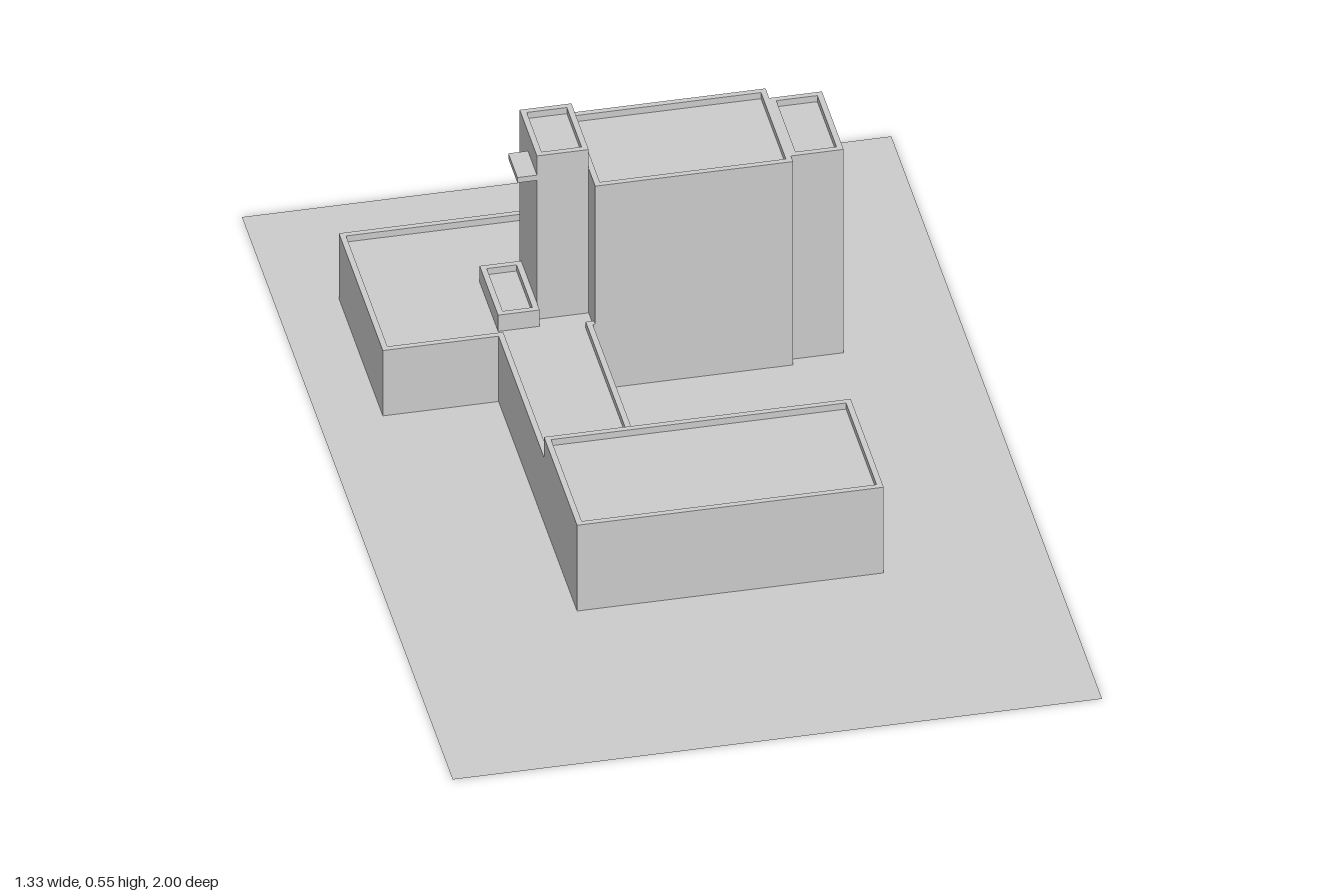
import * as THREE from 'three';

const material = new THREE.MeshStandardMaterial({ color: 0xcccccc, flatShading: true, side: THREE.DoubleSide });
const RIM = 0.012, RECESS = 0.015;

// Plan outlines are lists of [x, z] corners, counter-clockwise as seen from above.
const rect = (x0, x1, z0, z1) => [[x0, z1], [x1, z1], [x1, z0], [x0, z0]];
const toVectors = (plan) => plan.map(([x, z]) => new THREE.Vector2(x, -z));

// Moves every edge of a right-angled outline inward by d.
function inset(points, d) {
  const n = points.length;
  return points.map((p, i) => {
    const a = p.clone().sub(points[(i + n - 1) % n]).normalize();
    const b = points[(i + 1) % n].clone().sub(p).normalize();
    return new THREE.Vector2(p.x - (a.y + b.y) * d, p.y + (a.x + b.x) * d);
  });
}

function extrude(name, shape, y0, y1) {
  const geometry = new THREE.ExtrudeGeometry(shape, { depth: y1 - y0, bevelEnabled: false });
  geometry.rotateX(-Math.PI / 2).translate(0, y0, 0);
  const mesh = new THREE.Mesh(geometry, material);
  mesh.name = name;
  return mesh;
}

// A building volume with a sunken flat roof inside a thin parapet.
function building(name, plan, height, base = 0) {
  const outline = toVectors(plan);
  const rim = new THREE.Shape(outline);
  rim.holes.push(new THREE.Path(inset(outline, RIM)));
  const group = new THREE.Group();
  group.name = name;
  group.add(
    extrude(name + 'Walls', new THREE.Shape(outline), base, height - RECESS),
    extrude(name + 'Parapet', rim, height - RECESS, height),
  );
  return group;
}

export function createModel() {
  const model = new THREE.Group();
  model.name = 'buildingSite';

  // Flat plot of land
  const ground = new THREE.Mesh(new THREE.PlaneGeometry(1.33, 2).rotateX(-Math.PI / 2), material);
  ground.name = 'ground';
  model.add(ground);

  // Low rear wing and the connecting passage share one outline
  const lowWing = [
    [-0.535, -0.265], [-0.298, -0.265], [-0.298, 0.166], [-0.105, 0.166],
    [-0.105, -0.265], [0.303, -0.265], [0.303, -0.682], [-0.535, -0.682],
  ];
  model.add(
    building('lowWing', lowWing, 0.16),
    building('frontBlock', rect(-0.298, 0.33, 0.166, 0.48), 0.21),
    building('mainTower', rect(-0.1, 0.305, -0.525, -0.265), 0.498),
    building('endStairTower', rect(0.305, 0.413, -0.491, -0.285), 0.498),
    building('liftTower', rect(-0.206, -0.1, -0.491, -0.327), 0.545),
    building('roofEntrance', rect(-0.291, -0.206, -0.477, -0.302), 0.185, 0.14),
  );

  // Small canopy slab high on the lift tower
  model.add(extrude('canopy', new THREE.Shape(toVectors(rect(-0.246, -0.206, -0.413, -0.327))), 0.485, 0.498));

  return model;
}
